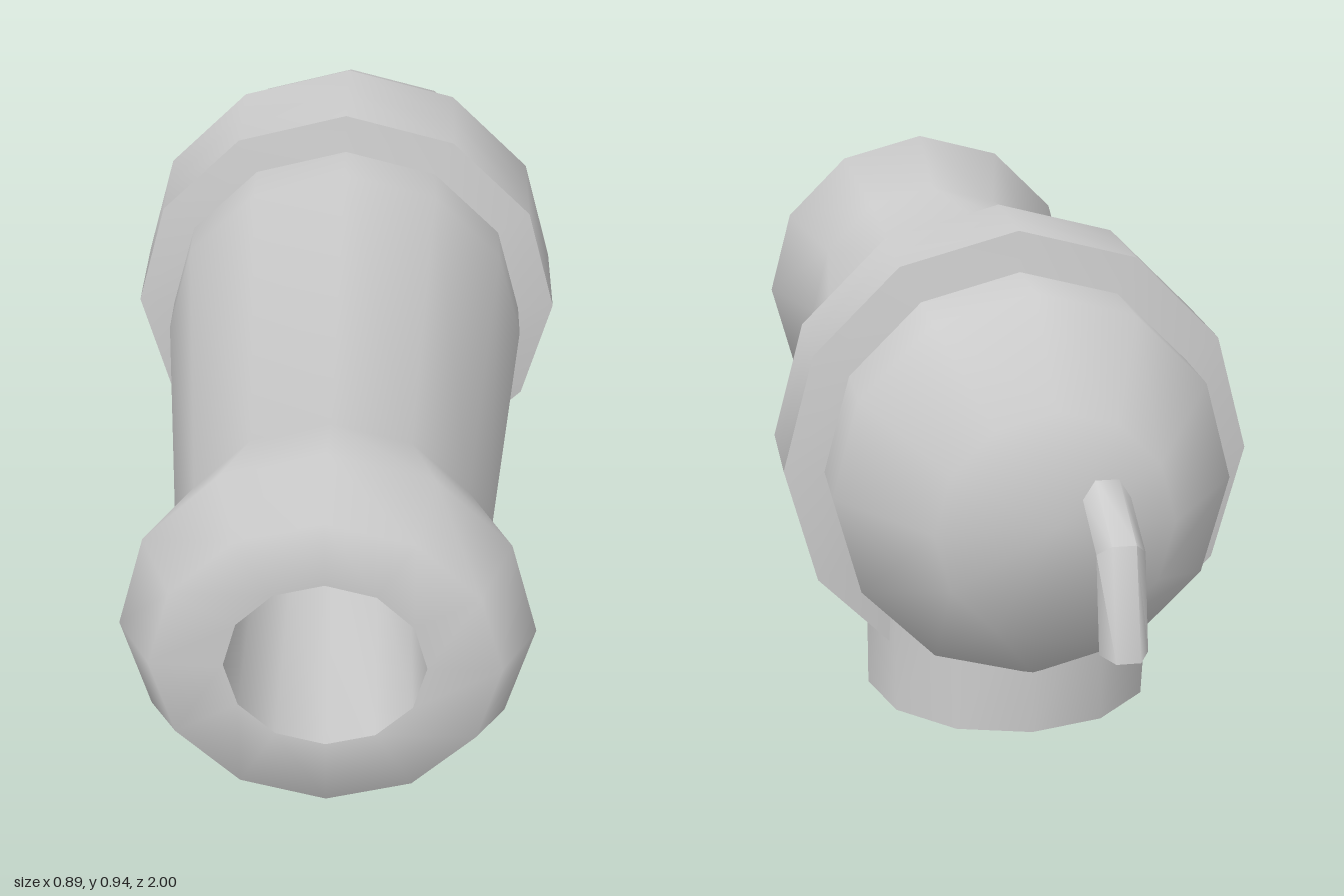
import * as THREE from 'three';
import { toCreasedNormals } from 'three/addons/utils/BufferGeometryUtils.js';

const SIDES = 12;
const AXIS_Y = 0.49;          // height of the barrel axis
const BASE_R = 0.28, BASE_Z = -0.325;

const material = new THREE.MeshStandardMaterial({ color: 0xcccccc });
const openMaterial = new THREE.MeshStandardMaterial({ color: 0xcccccc, side: THREE.DoubleSide });

// Revolve [radius, z] points around the barrel axis; angle 0 points down
function revolve(points, segments = SIDES, start = 0, length = Math.PI * 2) {
  const profile = points.map(([r, z]) => new THREE.Vector2(r, z));
  const geo = new THREE.LatheGeometry(profile, segments, start, length);
  return geo.rotateX(Math.PI / 2).translate(0, AXIS_Y, 0);
}

// Band around the barrel, open underneath where it meets the base wall
function bandGeometry() {
  const points = [[0.365, -0.45], [0.445, -0.435], [0.445, BASE_Z], [0.445, -0.215], [0.365, -0.2]];
  const geo = revolve(points, 10, Math.PI / 6, Math.PI * 5 / 3);
  const pos = geo.attributes.position;
  const n = points.length;
  for (let i = 0; i < pos.count; i++) {
    if (i >= n && i < pos.count - n) continue;
    // slide the end corners along their 45 degree facet to the base wall
    const x = pos.getX(i);
    const wall = BASE_R - Math.tan(Math.PI / 12) * Math.abs(pos.getZ(i) - BASE_Z);
    pos.setXY(i, Math.sign(x) * wall, pos.getY(i) + wall - Math.abs(x));
  }
  return geo;
}

// Six-sided bent fuse; each section is given by its upper and lower edge in y, z
function fuseGeometry() {
  const sections = [
    [0.58, -0.80, 0.51, -0.80],
    [0.505, -0.95, 0.46, -0.90],
    [0.31, -1.0, 0.315, -0.92],
  ];
  const n = 6, verts = [], index = [];
  for (const [y1, z1, y2, z2] of sections) {
    for (let i = 0; i < n; i++) {
      const a = (i + 0.5) / n * Math.PI * 2;
      const t = Math.cos(a) / Math.cos(Math.PI / 6) / 2;
      verts.push(-0.09 + 0.043 * Math.sin(a), (y1 + y2) / 2 + (y1 - y2) * t, (z1 + z2) / 2 + (z1 - z2) * t);
    }
  }
  for (let s = 0; s < sections.length - 1; s++) {
    for (let i = 0; i < n; i++) {
      const a = s * n + i, b = s * n + (i + 1) % n;
      index.push(a, a + n, b, b, a + n, b + n);
    }
  }
  // end cap
  const last = (sections.length - 1) * n;
  for (let i = 1; i < n - 1; i++) index.push(last, last + i + 1, last + i);
  const geo = new THREE.BufferGeometry();
  geo.setAttribute('position', new THREE.Float32BufferAttribute(verts, 3));
  geo.setIndex(index);
  return geo;
}

export function createModel() {
  const group = new THREE.Group();
  const add = (name, geo, mat = material) => {
    const mesh = new THREE.Mesh(toCreasedNormals(geo, 1.1), mat);
    mesh.name = name;
    group.add(mesh);
  };

  // Barrel: flat back, tapered body, flared muzzle and bore
  add('barrel', revolve([
    [0, -0.81], [0.215, -0.81], [0.37, -0.6], [0.37, -0.1], [0.285, 0.68],
    [0.365, 0.89], [0.303, 1], [0.175, 1], [0.165, 0.55], [0, 0.5],
  ]));

  add('band', bandGeometry(), openMaterial);

  // Hollow base, running up into the barrel
  const base = new THREE.CylinderGeometry(BASE_R, BASE_R, 0.28, SIDES, 1, true);
  add('base', base.translate(0, 0.14, BASE_Z), openMaterial);

  add('fuse', fuseGeometry(), openMaterial);

  return group;
}
